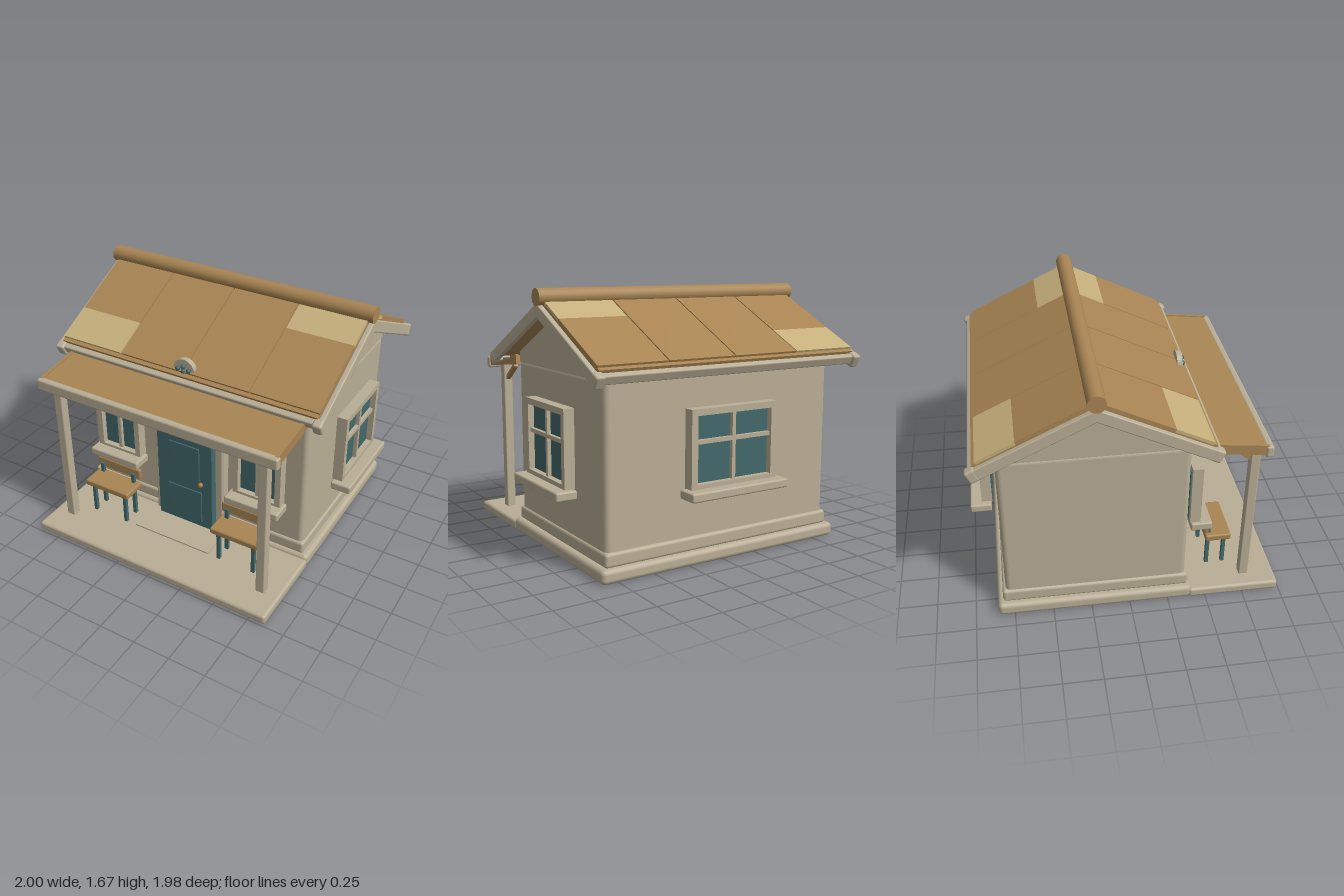
import * as THREE from 'three';
import { RoundedBoxGeometry } from 'three/addons/geometries/RoundedBoxGeometry.js';

const material = (name, color) => {
  const m = new THREE.MeshStandardMaterial({ color });
  m.name = name;
  return m;
};

export function createModel() {
  const plaster = material('plaster', 0xb9ae96);
  const wood = material('brown wood', 0xa88453);
  const paleWood = material('pale wood', 0xc6af7c);
  const teal = material('teal paint', 0x43686b);
  const brass = material('brass', 0xb0763c);

  const CX = -0.022;            // centre line of the house
  const RIDGE_Z = -0.217, RIDGE_Y = 1.616, PITCH = Math.atan(0.487);
  const house = new THREE.Group();
  house.name = 'house';

  const add = (parent, name, geometry, mat, x = 0, y = 0, z = 0) => {
    const mesh = new THREE.Mesh(geometry, mat);
    mesh.name = name;
    mesh.position.set(x, y, z);
    parent.add(mesh);
    return mesh;
  };
  // Box from its limits, with rounded edges where r > 0
  const box = (parent, name, mat, [x0, x1], [y0, y1], [z0, z1], r = 0) => {
    const size = [x1 - x0, y1 - y0, z1 - z0];
    const g = r ? new RoundedBoxGeometry(...size, 2, r) : new THREE.BoxGeometry(...size);
    return add(parent, name, g, mat, (x0 + x1) / 2, (y0 + y1) / 2, (z0 + z1) / 2);
  };
  const group = (name, x = 0, y = 0, z = 0, turn = 0) => {
    const g = new THREE.Group();
    g.name = name;
    g.position.set(x, y, z);
    g.rotation.y = turn;
    house.add(g);
    return g;
  };

  // Floor slabs, plinth and walls
  box(house, 'foundation', plaster, [-0.91, 0.865], [0, 0.09], [-0.855, 0.405], 0.03);
  box(house, 'porchFloor', plaster, [-0.91, 0.865], [0, 0.066], [0.39, 0.99], 0.02);
  box(house, 'doorStep', plaster, [-0.31, 0.27], [0.06, 0.075], [0.4, 0.68]);
  box(house, 'plinth', plaster, [-0.872, 0.825], [0.085, 0.175], [-0.82, 0.385], 0.02);
  box(house, 'walls', plaster, [-0.857, 0.812], [0.1, 1.185], [-0.8, 0.37], 0.035);

  // Gable block that fills the space under the roof
  const gable = new THREE.Shape([[-0.58, 1.165], [0.58, 1.165], [0.58, 1.235], [0, 1.52], [-0.58, 1.235]]
    .map(([z, y]) => new THREE.Vector2(z, y)));
  const gableGeometry = new THREE.ExtrudeGeometry(gable, { depth: 1.66, bevelEnabled: false });
  gableGeometry.translate(0, 0, -0.83).rotateY(Math.PI / 2);
  add(house, 'gables', gableGeometry, plaster, CX, 0, RIDGE_Z);

  // Board lying on a roof slope: d is the level distance from the ridge, t the height above the slope
  const slopeBoard = (side, name, mat, [x0, x1], [d0, d1], [t0, t1], r = 0) => {
    const c = Math.cos(PITCH), s = Math.sin(PITCH);
    const size = [x1 - x0, t1 - t0, (d1 - d0) / c];
    const g = r ? new RoundedBoxGeometry(...size, 2, r) : new THREE.BoxGeometry(...size);
    const along = (d0 + d1) / 2 / c, up = (t0 + t1) / 2;
    const mesh = add(house, name, g, mat, (x0 + x1) / 2,
      RIDGE_Y - along * s + up * c, RIDGE_Z + side * (along * c + up * s));
    mesh.rotation.x = side * PITCH;
  };

  const seams = [-0.966, -0.498, -0.022, 0.45, 0.918];
  for (const side of [1, -1]) {
    slopeBoard(side, 'roofDeck', wood, [-0.96, 0.912], [0, 0.715], [-0.075, -0.014]);
    for (let i = 0; i < 4; i++) {
      const span = [seams[i] + 0.004, seams[i + 1] - 0.004];
      const split = i === 0 ? 0.458 : i === 3 ? 0.228 : 0;
      const layer = [-0.02, 0];
      if (split) {
        slopeBoard(side, 'upperRoofPanel', i === 3 ? paleWood : wood, span, [0, split], layer);
        slopeBoard(side, 'lowerRoofPanel', i === 0 ? paleWood : wood, span, [split, 0.69], layer);
      } else {
        slopeBoard(side, 'roofPanel', wood, span, [0, 0.69], layer);
      }
    }
    // Gable trim with blocks at its feet, and the eave board
    for (const x of [-0.978, 0.933]) {
      slopeBoard(side, 'gableTrim', plaster, [x - 0.018, x + 0.018], [0, 0.75], [-0.104, -0.027], 0.008);
      const inner = x < 0 ? [-0.998, -0.935] : [0.89, 0.953];
      slopeBoard(side, 'trimFoot', plaster, inner, [0.705, 0.765], [-0.108, -0.022], 0.015);
    }
    slopeBoard(side, 'eaveBoard', plaster, [-0.965, 0.92], [0.712, 0.75], [-0.09, -0.03], 0.01);
  }
  const ridge = add(house, 'ridgePole', new THREE.CylinderGeometry(0.055, 0.055, 1.95, 20), wood, -0.024, 1.62, RIDGE_Z);
  ridge.rotation.z = Math.PI / 2;

  // Porch canopy, beam, posts and braces
  const canopy = box(house, 'porchRoof', wood, [-0.87, 0.826], [1.13, 1.185], [0.36, 0.83]);
  canopy.rotation.x = 0.1165;
  for (const x of [-0.872, 0.828]) {
    const rail = box(house, 'porchRoofEdge', wood, [x - 0.01, x + 0.01], [1.125, 1.192], [0.36, 0.83]);
    rail.rotation.x = 0.1165;
  }
  box(house, 'porchBeam', plaster, [-0.893, 0.848], [1.082, 1.163], [0.812, 0.86], 0.015);
  for (const x of [-0.775, 0.733]) {
    box(house, 'porchPost', plaster, [x - 0.031, x + 0.031], [0.06, 1.115], [0.75, 0.812], 0.008);
    const brace = box(house, 'porchBrace', wood, [x - 0.015, x + 0.015], [1.045, 1.07], [0.58, 0.78]);
    brace.position.z = 0.69;
    brace.rotation.x = 0.62;
  }

  // Arched door
  const arch = (half, bottom, spring, depth, bevel) => {
    const s = new THREE.Shape();
    const h = half - bevel;
    s.moveTo(-h, bottom + bevel);
    s.lineTo(h, bottom + bevel);
    s.lineTo(h, spring);
    s.absarc(0, spring, h, 0, Math.PI, false);
    return new THREE.ExtrudeGeometry(s, {
      depth: depth - bevel, curveSegments: 12, bevelEnabled: true,
      bevelThickness: bevel, bevelSize: bevel, bevelSegments: 1,
    });
  };
  add(house, 'doorFrame', arch(0.27, 0.07, 0.77, 0.075, 0.012), plaster, CX, 0, 0.365);
  add(house, 'door', arch(0.215, 0.085, 0.735, 0.05, 0.006), teal, CX, 0, 0.435);
  box(house, 'upperDoorPanel', teal, [-0.14, 0.096], [0.47, 0.735], [0.475, 0.492], 0.006);
  box(house, 'lowerDoorPanel', teal, [-0.157, 0.111], [0.128, 0.382], [0.475, 0.492], 0.006);
  add(house, 'doorKnob', new THREE.SphereGeometry(0.018, 12, 8), brass, 0.11, 0.458, 0.5);

  // Window facing +z in its own group; its origin is the middle of the sill top
  const makeWindow = (g, width, height, sill, opening, bar) => {
    const [left, bottom, top] = [opening.half, opening.bottom, opening.top];
    const rect = (Type, w, y0, y1) => new Type([[-w, y0], [w, y0], [w, y1], [-w, y1]]
      .map(([x, y]) => new THREE.Vector2(x, y)));
    const frame = rect(THREE.Shape, width / 2, 0, height);
    frame.holes.push(rect(THREE.Path, left, bottom, top));
    add(g, 'windowFrame', new THREE.ExtrudeGeometry(frame, { depth: 0.07, bevelEnabled: false }), plaster);
    box(g, 'windowPane', teal, [-left - 0.01, left + 0.01], [bottom - 0.01, top + 0.01], [-0.006, 0.03]);
    box(g, 'uprightBar', plaster, [-0.0125, 0.0125], [bottom, top], [0.01, 0.055]);
    if (bar) box(g, 'crossBar', plaster, [-left, left], [bar - 0.0125, bar + 0.0125], [0.01, 0.055]);
    box(g, 'windowSill', plaster, [-sill / 2, sill / 2], [-0.055, 0.002], [0.005, 0.145], 0.012);
  };
  for (const side of [-1, 1]) {
    makeWindow(group('frontWindow', CX + side * 0.538, 0.49, 0.412), 0.345, 0.425, 0.39,
      { half: 0.133, bottom: 0.02, top: 0.385 });
  }
  makeWindow(group('sideWindow', 0.853, 0.495, -0.235, Math.PI / 2), 0.54, 0.49, 0.62,
    { half: 0.23, bottom: 0.03, top: 0.45 }, 0.283);
  makeWindow(group('backWindow', CX, 0.497, -0.848, Math.PI), 0.64, 0.485, 0.72,
    { half: 0.275, bottom: 0.03, top: 0.445 }, 0.283);

  // Porch chairs
  for (const side of [-1, 1]) {
    const chair = group('chair', CX + side * 0.503);
    box(chair, 'seat', wood, [-0.177, 0.177], [0.284, 0.33], [0.535, 0.708], 0.012);
    box(chair, 'backrest', wood, [-0.177, 0.177], [0.36, 0.435], [0.522, 0.553], 0.01);
    for (const x of [-0.129, 0.129]) {
      box(chair, 'frontLeg', teal, [x - 0.012, x + 0.012], [0.06, 0.29], [0.658, 0.682]);
      box(chair, 'backLeg', teal, [x - 0.012, x + 0.012], [0.06, 0.4], [0.549, 0.573]);
    }
  }

  // Half-round ornament on the front eave
  const ornament = group('roofOrnament', CX, 1.285, 0.425);
  const fan = new THREE.Shape();
  fan.absarc(0, 0, 0.075, 0, Math.PI, false);
  add(ornament, 'ornamentFan', new THREE.ExtrudeGeometry(fan, { depth: 0.036, bevelEnabled: false, curveSegments: 10 }), plaster);
  for (const [x, y] of [[-0.04, 0.008], [0, -0.004], [0.04, 0.008], [0, 0.028]]) {
    add(ornament, 'ornamentBead', new THREE.SphereGeometry(0.016, 10, 8), teal, x, y, 0.043);
  }

  return house;
}
